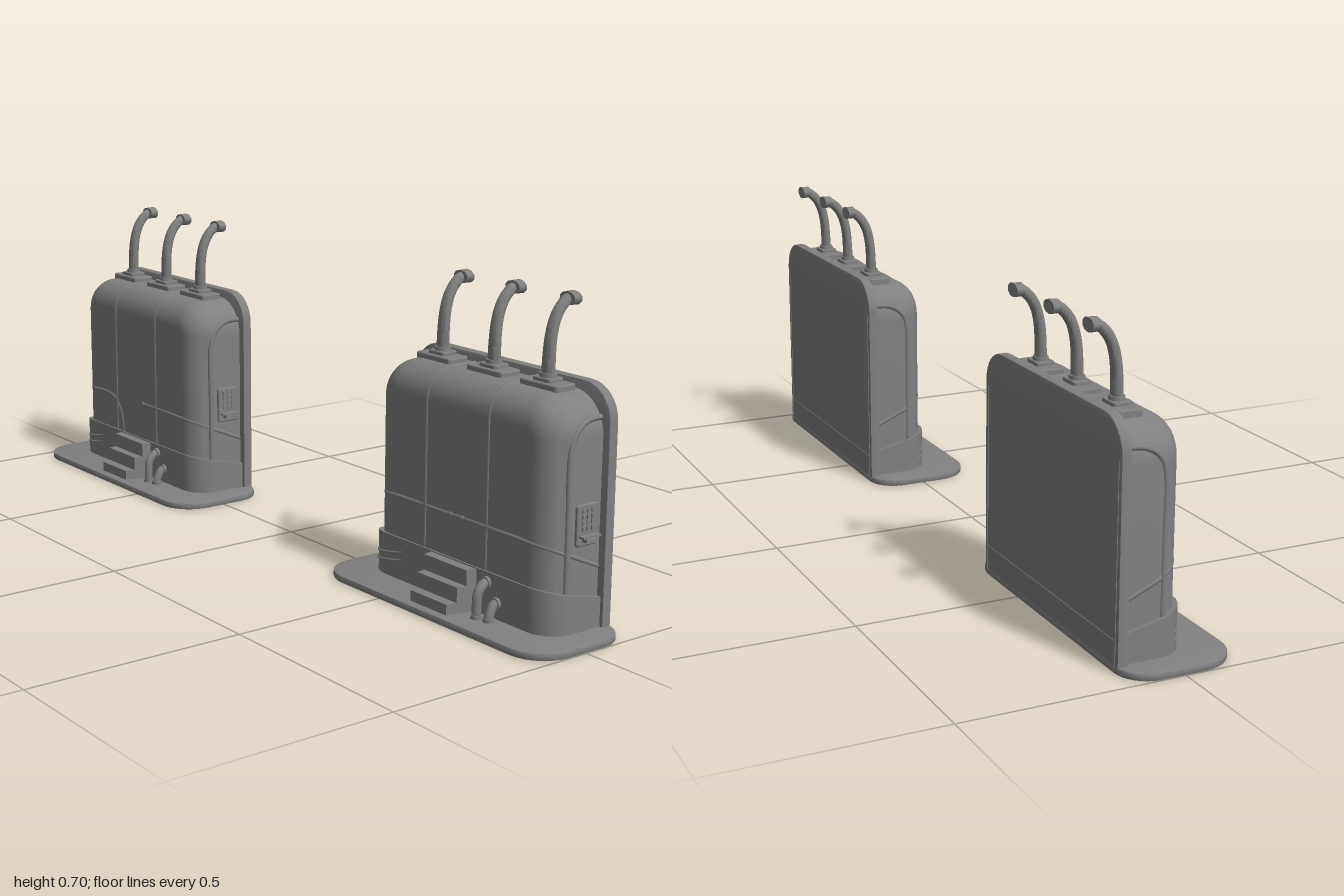
import * as THREE from 'three';
import { toCreasedNormals } from 'three/addons/utils/BufferGeometryUtils.js';

const mat = new THREE.MeshStandardMaterial({ color: 0x808080 });
const V = (x, y, z) => new THREE.Vector3(x, y, z);

function add(parent, name, geo, x = 0, y = 0, z = 0) {
  const m = new THREE.Mesh(geo, mat);
  m.name = name;
  m.position.set(x, y, z);
  parent.add(m);
  return m;
}

// Closed outline from corners [x, y, radius]
function rounded(corners) {
  const s = new THREE.Shape(), n = corners.length;
  corners.forEach(([x, y, r], i) => {
    const p = new THREE.Vector2(x, y);
    const toward = (j, d) => new THREE.Vector2(...corners[(j + n) % n]).sub(p).setLength(d).add(p);
    const a = toward(i - 1, r), b = toward(i + 1, r);
    if (i) s.lineTo(a.x, a.y); else s.moveTo(a.x, a.y);
    if (r) {
      const c = toward(i - 1, r * 0.45), d = toward(i + 1, r * 0.45);
      s.bezierCurveTo(c.x, c.y, d.x, d.y, b.x, b.y);
    }
  });
  s.closePath();
  return s;
}

// Plan outline symmetric in x, raised from y = 0 to height
function slab(half, back, front, rBack, rFront, height, bevel = 0) {
  const shape = rounded([[-half, -front, rFront], [half, -front, rFront], [half, -back, rBack], [-half, -back, rBack]]);
  const geo = new THREE.ExtrudeGeometry(shape, {
    depth: height - 2 * bevel, curveSegments: 8, bevelEnabled: bevel > 0,
    bevelSize: bevel, bevelThickness: bevel, bevelOffset: -bevel, bevelSegments: 2,
  });
  return geo.translate(0, 0, bevel).rotateX(-Math.PI / 2);
}

// Upright arch outline, width 2 * half
const arch = (half, bottom, top, r) =>
  rounded([[-half, bottom, 0], [half, bottom, 0], [half, top, r], [-half, top, r]]);

// Apply a rule to every vertex
function warp(geo, rule) {
  const p = geo.attributes.position, v = V(0, 0, 0);
  for (let i = 0; i < p.count; i++) {
    rule(v.fromBufferAttribute(p, i));
    p.setXYZ(i, v.x, v.y, v.z);
  }
  return toCreasedNormals(geo, 0.6);
}

const tube = (pts, r, seg = 48, sides = 8) =>
  new THREE.TubeGeometry(new THREE.CatmullRomCurve3(pts), seg, r, sides);

const HALF = 0.284, FRONT = 0.036, TOP = 0.505, R = 0.065;
// Raised seams sit partly sunk into the casing
const SINK = 0.003, SEAM_Z = FRONT - SINK;
const bandY = z => 0.205 - (FRONT - z) * 0.44;

// Plan points round a vertical front corner, from the flank to the front face
function cornerArc(sign, half, front, yRule) {
  return Array.from({ length: 7 }, (_, i) => {
    const a = i / 6 * Math.PI / 2;
    const z = front - R + R * Math.sin(a);
    return V(sign * (half - R + R * Math.cos(a)), yRule(z, i / 6), z);
  });
}

function sidePath(sign) {
  const x = sign * (HALF - SINK);
  return [V(x, bandY(-0.1), -0.1), V(x, bandY(-0.065), -0.065), ...cornerArc(sign, HALF - SINK, SEAM_Z, bandY)];
}

function buildShell(g) {
  add(g, 'basePlate', toCreasedNormals(slab(0.357, -0.125, 0.133, 0.07, 0.085, 0.016, 0.003), 0.6));

  // Main casing with a soft front edge
  const casing = new THREE.ExtrudeGeometry(arch(HALF, -0.15, TOP, 0.085), {
    depth: FRONT - R + 0.11, bevelSize: R, bevelThickness: R, bevelOffset: -R, bevelSegments: 8, curveSegments: 10,
  }).translate(0, 0, -0.11);
  add(g, 'casing', warp(casing, v => { v.y = Math.max(v.y, 0.01); v.z = Math.max(v.z, -0.11); }));

  // Back board with a thin border and a low rail behind
  const board = new THREE.ExtrudeGeometry(arch(0.302, 0.01, 0.525, 0.075), {
    depth: 0.018, bevelSize: 0.003, bevelThickness: 0.003, bevelOffset: -0.003, bevelSegments: 2, curveSegments: 8,
  }).translate(0, 0, -0.121);
  add(g, 'backBoard', toCreasedNormals(board, 0.6));
  for (const s of [-1, 1]) add(g, 'backBorder', new THREE.BoxGeometry(0.004, 0.43, 0.003), s * 0.29, 0.226, -0.124);
  add(g, 'backRail', new THREE.BoxGeometry(0.58, 0.004, 0.003), 0, 0.068, -0.124);

  // Skirt whose top slopes down toward the back
  const skirt = slab(0.294, -0.11, 0.043, 0, R, 0.1);
  add(g, 'skirt', warp(skirt, v => { v.y = v.y > 0.05 ? 0.112 - (0.043 - v.z) * 0.22 : 0.01; }));

  // Vertical ribs running up the front and over the top
  for (const x of [-0.104, 0.092]) {
    const pts = [V(x, 0.1, SEAM_Z), V(x, 0.25, SEAM_Z), V(x, 0.4, SEAM_Z)];
    for (let i = 0; i <= 6; i++) {
      const a = i / 6 * Math.PI / 2;
      pts.push(V(x, TOP - SINK - R + R * Math.sin(a), SEAM_Z - R + R * Math.cos(a)));
    }
    pts.push(V(x, TOP - SINK, -0.06), V(x, TOP - SINK, -0.105));
    add(g, 'rib', tube(pts, 0.0055));
  }

  // Curved trim on both flanks
  for (const s of [-1, 1]) {
    const x = s * (HALF - 0.004);
    const pts = [V(x, 0.09, -0.013), V(x, 0.25, -0.013), V(x, 0.39, -0.013), V(x, 0.425, -0.021),
      V(x - s * 0.001, 0.448, -0.042), V(x - s * 0.005, 0.457, -0.07), V(x - s * 0.005, 0.458, -0.105)];
    add(g, 'sideTrim', tube(pts, 0.007));
  }
}

// Exhaust pipes on stepped mounts
function buildPipes(g) {
  for (const x of [-0.17, -0.005, 0.158]) {
    const pipe = new THREE.Group();
    pipe.name = 'exhaustPipe';
    pipe.position.x = x;
    g.add(pipe);
    add(pipe, 'mount', slab(0.056, -0.091, -0.034, 0.008, 0.008, 0.021, 0.003), 0, 0.496, 0);
    add(pipe, 'mountCap', slab(0.027, -0.085, -0.043, 0.008, 0.008, 0.011, 0.002), 0, 0.514, 0);
    add(pipe, 'collar', new THREE.CylinderGeometry(0.016, 0.017, 0.01, 16), 0, 0.528, -0.064).scale.x = 1.25;
    // The stack is oval and slims toward the top
    const stack = tube([V(0, 0.52, -0.064), V(0, 0.57, -0.065), V(0, 0.61, -0.069), V(0, 0.642, -0.078),
      V(0, 0.665, -0.092), V(0, 0.68, -0.11), V(0, 0.682, -0.122)], 0.0118, 28, 14);
    add(pipe, 'stack', warp(stack.toNonIndexed(), v => { v.x *= 1.5 - 3 * (v.y - 0.52); }));
    const flange = add(pipe, 'outlet', new THREE.CylinderGeometry(0.024, 0.023, 0.02, 10), 0, 0.682, -0.121);
    flange.rotation.x = -Math.PI / 2;
    flange.scale.z = 0.64;
  }
}

// Tapered steps, hoses and vent strips on the front
function buildFront(g) {
  for (const [front, top] of [[0.112, 0.04], [0.088, 0.074], [0.066, 0.109]]) {
    const step = slab(1, 0.03, front, 0, 0, top - 0.01);
    add(g, 'step', warp(step, v => { v.x *= 0.074 - (v.z - 0.04) * 0.22; v.y += 0.01; }));
  }

  for (const [x, y, z] of [[0.107, 0.09, 0.068], [0.138, 0.052, 0.062]]) {
    add(g, 'hose', tube([V(x, y, 0.03), V(x, y - 0.002, 0.052), V(x, y - 0.018, z),
      V(x, y * 0.5, z + 0.003), V(x, 0.012, z + 0.003)], 0.0105, 20, 10));
    for (const [cy, cz, rx] of [[y, 0.046, Math.PI / 2], [0.02, z + 0.003, 0]])
      add(g, 'hoseCollar', new THREE.CylinderGeometry(0.013, 0.013, 0.008, 12), x, cy, cz).rotation.x = rx;
  }

  // Rising strips that wrap the skirt corner
  for (const y of [0.035, 0.053]) {
    const arc = cornerArc(-1, 0.294, 0.043, (z, t) => y + 0.016 * t).slice(2);
    add(g, 'ventStrip', tube([...arc, V(-0.2, y + 0.021, 0.043), V(-0.172, y + 0.027, 0.043)], 0.0025, 32, 6));
  }
}

// Keypad on the left flank
function buildKeypad(g) {
  const pad = new THREE.Group();
  pad.name = 'keypad';
  pad.position.set(HALF, 0.242, -0.059);
  g.add(pad);
  const plate = new THREE.ExtrudeGeometry(rounded([[-0.03, -0.044, 0.006], [0.03, -0.044, 0.006],
    [0.03, 0.044, 0.006], [-0.03, 0.044, 0.006]]), { depth: 0.005, bevelSize: 0.002, bevelThickness: 0.002, bevelOffset: -0.002, bevelSegments: 1 });
  add(pad, 'keypadPlate', plate.rotateY(Math.PI / 2));
  for (let r = 0; r < 4; r++)
    for (let c = -1; c <= 1; c++)
      add(pad, 'key', new THREE.BoxGeometry(0.006, 0.0095, 0.0095), 0.007, 0.031 - r * 0.0125, c * 0.0128);
  add(pad, 'ledge', new THREE.BoxGeometry(0.018, 0.004, 0.05), 0.012, -0.022, 0);
  add(pad, 'handle', new THREE.BoxGeometry(0.006, 0.005, 0.032), 0.018, -0.029, 0);
  for (const z of [-0.013, 0.013]) add(pad, 'handlePost', new THREE.BoxGeometry(0.014, 0.009, 0.005), 0.011, -0.029, z);
}

// Cable around the casing, either continuous or broken in the middle
function buildCable(g, broken) {
  const right = sidePath(-1), left = sidePath(1).reverse();
  if (broken) {
    add(g, 'cable', tube([...right, V(-0.15, 0.205, SEAM_Z), V(-0.115, 0.198, SEAM_Z),
      V(-0.09, 0.175, SEAM_Z), V(-0.077, 0.145, SEAM_Z), V(-0.072, 0.105, SEAM_Z)], 0.0055, 80));
    add(g, 'cable', tube([V(0.03, 0.205, SEAM_Z), V(0.12, 0.205, SEAM_Z), ...left], 0.0055, 80));
  } else {
    add(g, 'cable', tube([...right, V(-0.1, 0.205, SEAM_Z), V(0.1, 0.205, SEAM_Z), ...left], 0.0055, 100));
  }
  for (const x of broken ? [0.03] : [-0.018, 0.018])
    add(g, 'cableClip', new THREE.SphereGeometry(0.007, 10, 8), x, 0.205, SEAM_Z);
}

export function createModel() {
  const model = new THREE.Group();
  model.name = 'machinePair';
  for (const side of [-1, 1]) {
    const unit = new THREE.Group();
    unit.name = side < 0 ? 'rightUnit' : 'leftUnit';
    unit.position.x = side * 0.643;
    buildShell(unit);
    buildPipes(unit);
    buildFront(unit);
    buildKeypad(unit);
    buildCable(unit, side < 0);
    model.add(unit);
  }
  return model;
}
